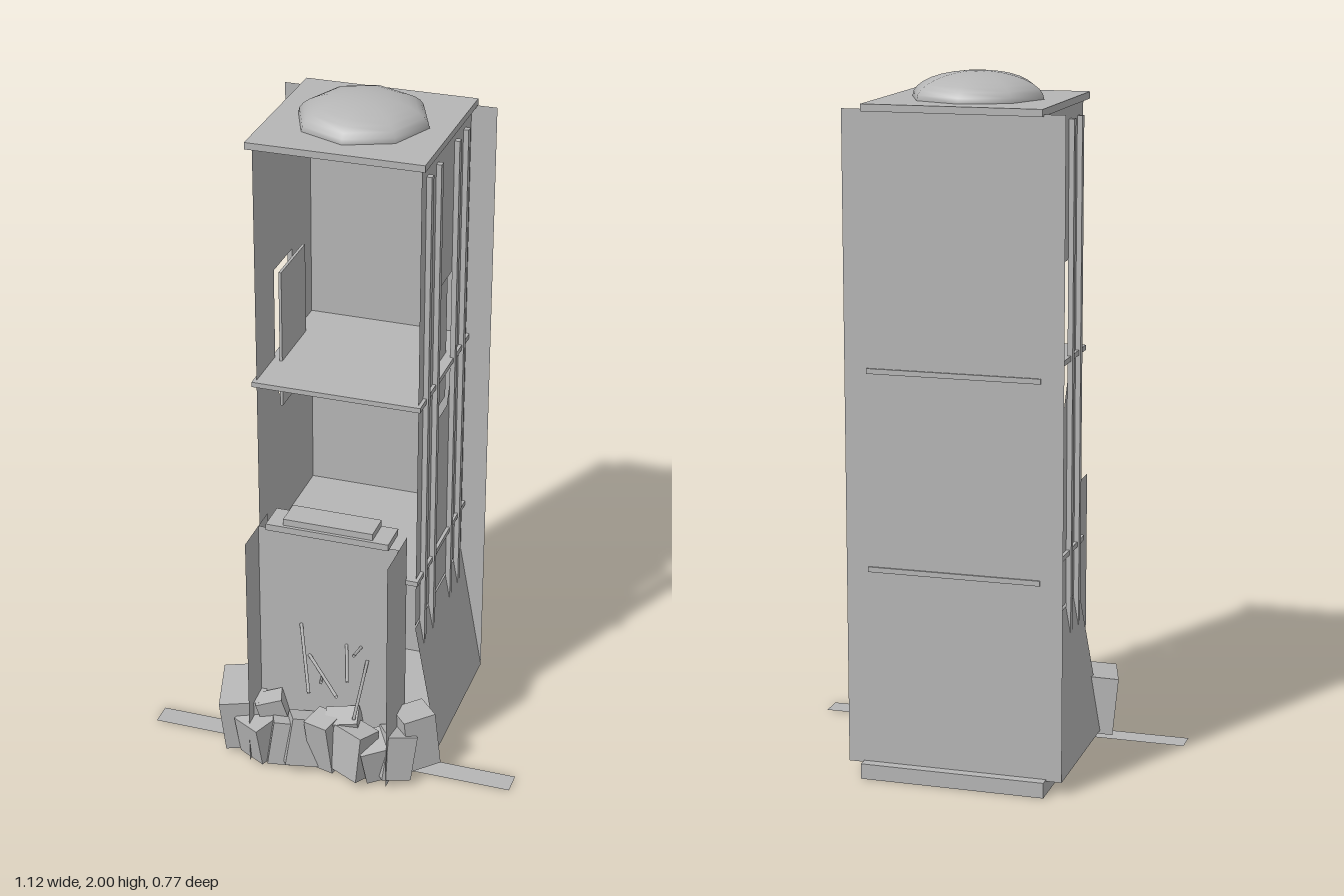
import * as THREE from 'three';

const stone = new THREE.MeshStandardMaterial({ color: 0xb6b6b6, side: THREE.DoubleSide });
stone.name = 'grey stone';

export function createModel() {
  const group = new THREE.Group();
  const add = (name, geo) => {
    const mesh = new THREE.Mesh(geo, stone);
    mesh.name = name;
    group.add(mesh);
    return mesh;
  };
  // box given by its limits on each axis
  const box = (name, x0, x1, y0, y1, z0, z1) => {
    const mesh = add(name, new THREE.BoxGeometry(x1 - x0, y1 - y0, z1 - z0));
    mesh.position.set((x0 + x1) / 2, (y0 + y1) / 2, (z0 + z1) / 2);
    return mesh;
  };
  // flat sheet through four corners
  const quad = (name, a, b, c, d) => {
    const geo = new THREE.BufferGeometry();
    geo.setAttribute('position', new THREE.Float32BufferAttribute([...a, ...b, ...c, ...d], 3));
    geo.setIndex([0, 1, 2, 0, 2, 3]);
    geo.computeVertexNormals();
    return add(name, geo);
  };

  // base, floors and roof slab
  box('base', -0.27, 0.27, 0, 0.045, -0.385, 0.14);
  box('lowerFloor', -0.25, 0.25, 0.61, 0.625, -0.36, 0.135);
  box('upperFloor', -0.25, 0.25, 1.18, 1.195, -0.36, 0.135);
  box('roof', -0.255, 0.255, 1.905, 1.925, -0.37, 0.14);

  // shallow eight-sided dome
  const dome = add('dome', new THREE.SphereGeometry(0.19, 8, 8, 0, Math.PI * 2, 0, Math.PI / 2));
  dome.scale.y = 0.075 / 0.19;
  dome.position.set(0, 1.925, -0.115);

  // wide back wall
  quad('backWall', [0.315, 0.04, -0.355], [-0.315, 0.04, -0.355],
    [-0.315, 1.91, -0.355], [0.315, 1.91, -0.355]);

  for (const s of [1, -1]) {
    // side wall with a window that narrows at the sill (shape x = -z)
    const wall = new THREE.Shape([[-0.12, 0.465], [0.355, 0.465], [0.355, 1.91], [-0.12, 1.91]]
      .map(p => new THREE.Vector2(...p)));
    wall.holes.push(new THREE.Path([[0.07, 1.05], [0.03, 1.13], [0.02, 1.47], [0.21, 1.47],
      [0.2, 1.13], [0.165, 1.05]].map(p => new THREE.Vector2(...p))));
    const wallMesh = add('sideWall', new THREE.ShapeGeometry(wall));
    wallMesh.rotation.y = Math.PI / 2;
    wallMesh.position.x = s * 0.24;

    // panel set behind the window
    box('windowPanel', s * 0.215 - 0.004, s * 0.215 + 0.004, 1.05, 1.475, -0.22, -0.015);

    // sloping skirt at the foot of the wall
    const skirt = [[s * 0.315, 0.04, 0.12], [s * 0.315, 0.04, -0.355],
      [s * 0.24, 0.455, -0.355], [s * 0.24, 0.455, 0.12]];
    if (s < 0) skirt.reverse();
    quad('skirt', ...skirt);

    // upright ribs
    for (const z of [0.065, -0.025, -0.2, -0.287])
      box('rib', s * 0.2475 - 0.0075, s * 0.2475 + 0.0075, 0.36, 1.865, z - 0.01, z + 0.01);

    // wing of the entrance
    const wing = [[s * 0.213, 0.01, 0.31], [s * 0.213, 0.01, 0.125],
      [s * 0.213, 0.765, 0.125], [s * 0.213, 0.765, 0.31]];
    if (s < 0) wing.reverse();
    quad('entranceWing', ...wing);
  }

  // entrance front with stepped cap
  quad('entranceFront', [-0.213, 0.01, 0.2], [0.213, 0.01, 0.2], [0.213, 0.765, 0.2], [-0.213, 0.765, 0.2]);
  box('capStep', -0.185, 0.185, 0.765, 0.785, 0.12, 0.215);
  box('capTop', -0.135, 0.135, 0.785, 0.805, 0.12, 0.205);

  // flat strip on the ground
  quad('groundStrip', [-0.56, 0.002, 0.2], [0.56, 0.002, 0.2], [0.56, 0.002, 0.13], [-0.56, 0.002, 0.13]);

  // broken blocks: centre, size, rotation
  const blocks = [
    [-0.265, 0.11, 0.18, 0.14, 0.17, 0.19, 0.08, 0.27, 0.08],
    [0.265, 0.12, 0.18, 0.1, 0.17, 0.1, -0.1, 0.7, 0.15],
    [-0.2, 0.08, 0.27, 0.1, 0.13, 0.08, 0.2, -0.5, 0.1],
    [-0.13, 0.08, 0.26, 0.07, 0.14, 0.09, -0.1, 0.4, -0.12],
    [-0.16, 0.14, 0.23, 0.08, 0.13, 0.06, 0.1, 0.3, 0.25],
    [-0.06, 0.09, 0.26, 0.1, 0.15, 0.07, -0.2, 0.5, -0.1],
    [0.01, 0.1, 0.26, 0.08, 0.17, 0.08, 0.15, -0.3, 0.08],
    [0.09, 0.1, 0.27, 0.14, 0.15, 0.08, -0.12, -0.45, -0.08],
    [0.16, 0.08, 0.26, 0.08, 0.12, 0.1, 0.2, 0.5, 0.1],
    [0.22, 0.09, 0.24, 0.09, 0.14, 0.09, -0.15, 0.6, -0.1],
    [0.06, 0.16, 0.24, 0.1, 0.07, 0.07, 0.3, 0.2, 0.1],
  ];
  for (const [x, y, z, w, h, d, rx, ry, rz] of blocks) {
    const block = add('rubbleBlock', new THREE.BoxGeometry(w, h, d));
    block.position.set(x, y, z);
    block.rotation.set(rx, ry, rz);
  }

  // bent bars poking out of the entrance front
  const bars = [
    [[-0.085, 0.455, 0.2], [0, 0.345, 0.38]],
    [[-0.02, 0.285, 0.2], [0.03, 0.375, 0.36]],
    [[-0.06, 0.35, 0.2], [0.085, 0.35, 0.38]],
    [[0.1, 0.2, 0.27], [0.12, 0.37, 0.2]],
    [[0.055, 0.41, 0.2], [0.09, 0.35, 0.3]],
    [[0.1, 0.41, 0.2], [0.1, 0.425, 0.27]],
  ];
  for (const [a, b] of bars) {
    const path = new THREE.LineCurve3(new THREE.Vector3(...a), new THREE.Vector3(...b));
    add('bar', new THREE.TubeGeometry(path, 1, 0.005, 6));
  }
  return group;
}
